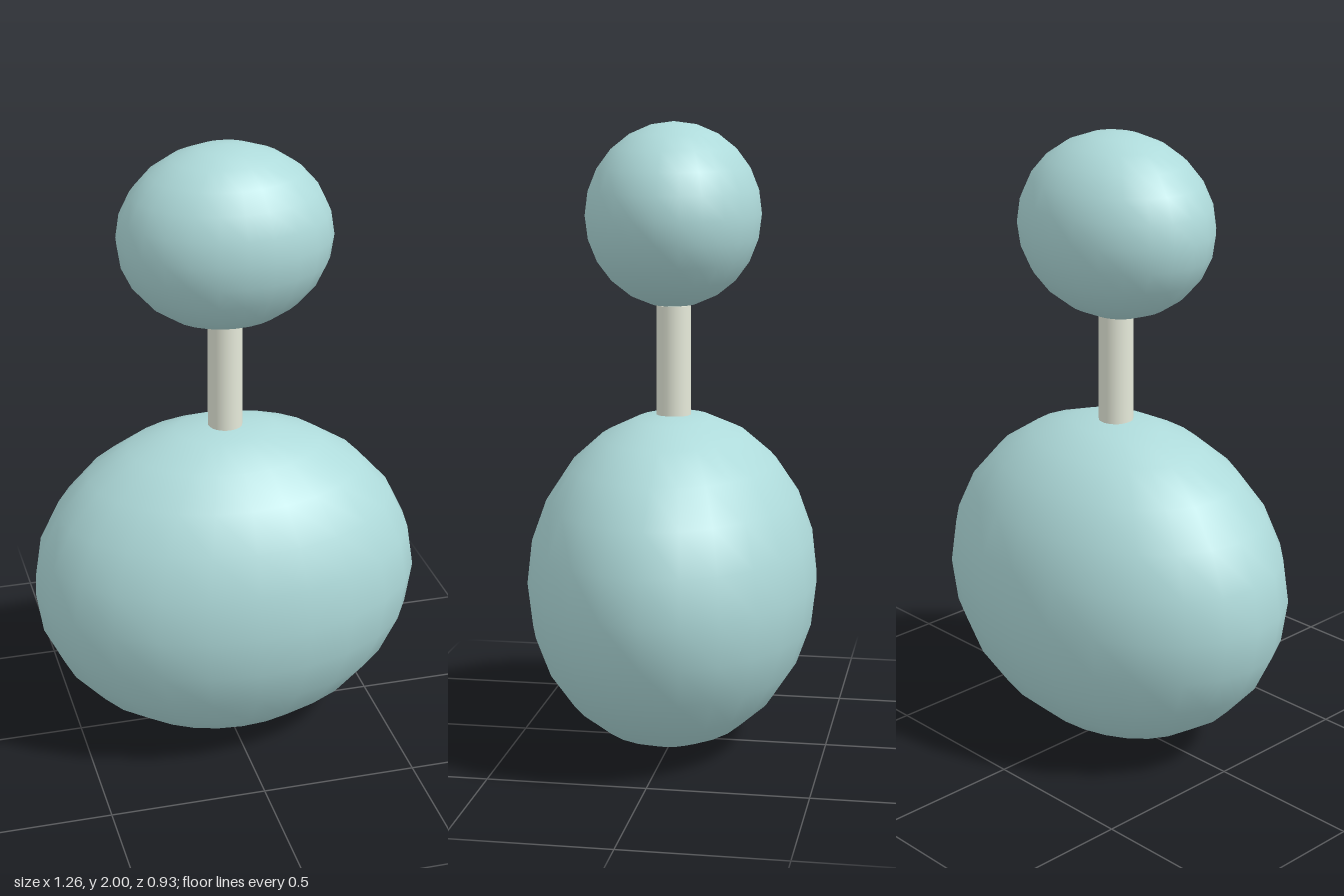
import * as THREE from 'three';

const teal = new THREE.MeshStandardMaterial({ color: 0xaedada });
const ivory = new THREE.MeshStandardMaterial({ color: 0xe6eada });

// Smooth ellipsoid with its poles along y
function ellipsoid(name, rx, ry, rz, y) {
  const geometry = new THREE.SphereGeometry(1, 24, 12).scale(rx, ry, rz);
  const mesh = new THREE.Mesh(geometry, teal);
  mesh.name = name;
  mesh.position.y = y;
  return mesh;
}

export function createModel() {
  const model = new THREE.Group();
  model.name = 'model';

  // Large lower body and small upper head
  model.add(ellipsoid('body', 0.632, 0.541, 0.463, 0.541));
  model.add(ellipsoid('head', 0.338, 0.29, 0.277, 1.71));

  // Thin neck joining the two, ends just inside the ellipsoids
  const bottom = 1.075, top = 1.425;
  const neck = new THREE.Mesh(new THREE.CylinderGeometry(0.055, 0.055, top - bottom, 24), ivory);
  neck.name = 'neck';
  neck.position.y = (bottom + top) / 2;
  model.add(neck);

  return model;
}
